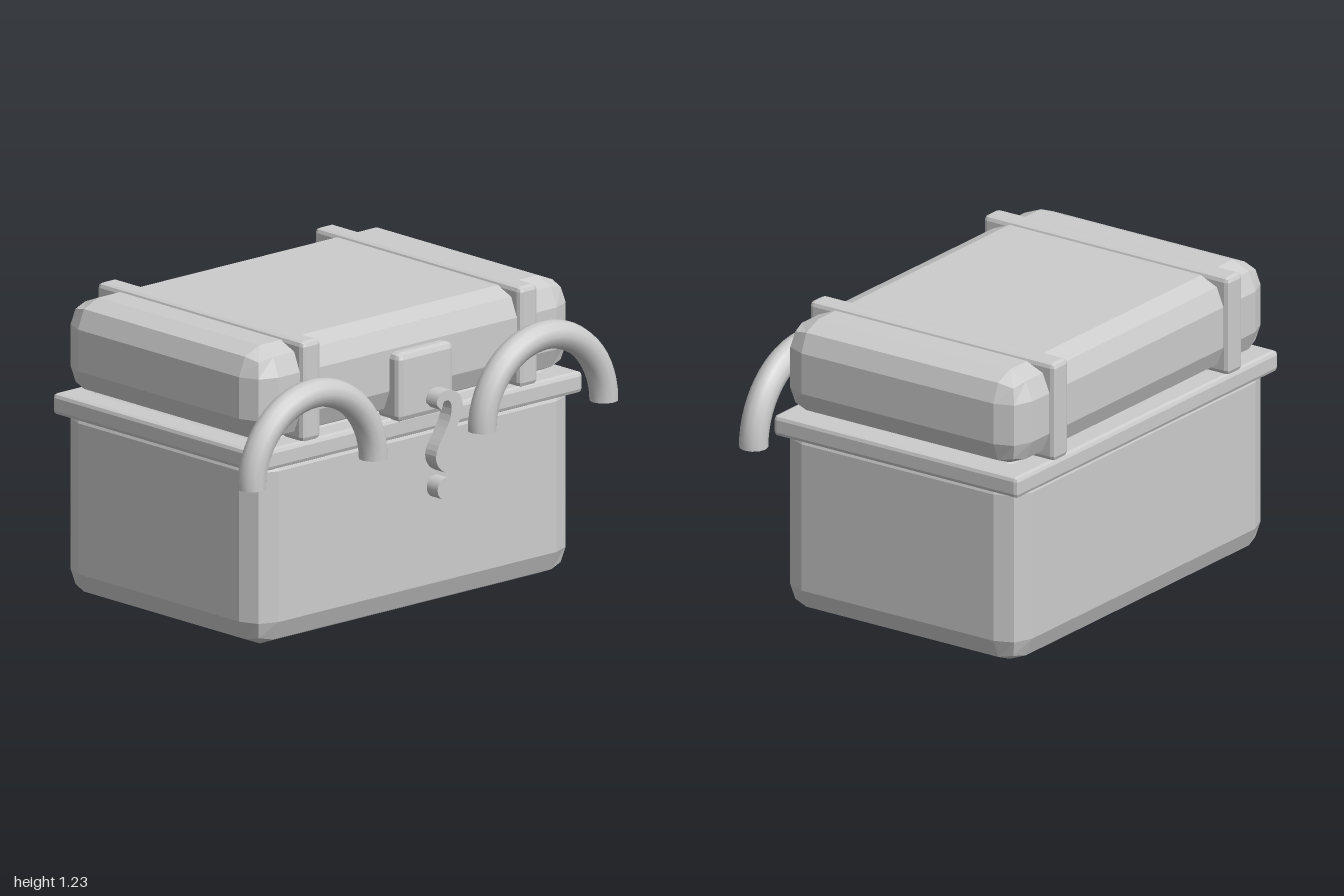
import * as THREE from 'three';
import { RoundedBoxGeometry } from 'three/addons/geometries/RoundedBoxGeometry.js';

export function createModel() {
  const chest = new THREE.Group();
  chest.name = 'chest';

  const grey = new THREE.MeshStandardMaterial({ color: 0xcccccc });
  grey.name = 'plainGrey';

  function add(name, geometry, x = 0, y = 0, z = 0, parent = chest) {
    const mesh = new THREE.Mesh(geometry, grey);
    mesh.name = name;
    mesh.position.set(x, y, z);
    parent.add(mesh);
    return mesh;
  }

  // Box with two-facet bevels and flat normals, given by its extents
  function bevelBox(name, [x0, x1], [y0, y1], [z0, z1], bevel) {
    const geometry = new RoundedBoxGeometry(x1 - x0, y1 - y0, z1 - z0, 1, bevel);
    geometry.computeVertexNormals();
    return add(name, geometry, (x0 + x1) / 2, (y0 + y1) / 2, (z0 + z1) / 2);
  }

  // Trunk, rim and lid
  bevelBox('body', [-0.853, 0.853], [0, 0.835], [-0.652, 0.5], 0.11);
  bevelBox('rim', [-0.872, 0.872], [0.738, 0.826], [-0.672, 0.515], 0.018);
  bevelBox('lid', [-0.853, 0.853], [0.827, 1.217], [-0.652, 0.5], 0.11);

  // Front lock plate
  bevelBox('lockPlate', [-0.15, 0.15], [0.815, 1.095], [0.42, 0.552], 0.025);

  // Straps over the lid and arched handles, one pair on each side
  const arch = new THREE.TorusGeometry(0.325, 0.058, 12, 28, Math.PI);
  const archEnd = new THREE.CircleGeometry(0.058, 12).rotateX(Math.PI / 2);
  for (const [side, s] of [['left', 1], ['right', -1]]) {
    const x = s * 0.58;
    bevelBox(side + 'Strap', [x - 0.05, x + 0.05], [0.82, 1.23], [-0.675, 0.517], 0.02);

    const handle = new THREE.Group();
    handle.name = side + 'Handle';
    handle.position.set(s * 0.616, 0.705, 0.558);
    add('handleArch', arch, 0, 0, 0, handle);
    for (const e of [-1, 1]) add('handleEnd', archEnd, e * 0.325, 0, 0, handle);
    chest.add(handle);
  }

  // Curved hook ornament with a round stud below it, floating before the lock
  const hook = new THREE.Shape();
  hook.moveTo(-0.06, 0.9);
  hook.bezierCurveTo(-0.06, 0.93, -0.04, 0.95, -0.01, 0.95);
  hook.bezierCurveTo(0.04, 0.95, 0.08, 0.92, 0.08, 0.87);
  hook.bezierCurveTo(0.08, 0.8, -0.02, 0.73, -0.022, 0.67);
  hook.bezierCurveTo(-0.022, 0.65, -0.015, 0.64, -0.012, 0.615);
  hook.bezierCurveTo(-0.05, 0.635, -0.065, 0.66, -0.063, 0.69);
  hook.bezierCurveTo(-0.06, 0.74, 0.02, 0.8, 0.02, 0.87);
  hook.bezierCurveTo(0.02, 0.9, 0.005, 0.912, -0.015, 0.908);
  hook.bezierCurveTo(-0.03, 0.905, -0.025, 0.885, -0.035, 0.875);
  hook.lineTo(-0.06, 0.9);
  add('hookOrnament', new THREE.ExtrudeGeometry(hook, {
    depth: 0.063, bevelEnabled: false, curveSegments: 8,
  }), 0, 0, 0.612);
  add('ornamentStud', new THREE.CylinderGeometry(0.045, 0.045, 0.063, 24).rotateX(Math.PI / 2),
    -0.01, 0.55, 0.6435);

  return chest;
}
